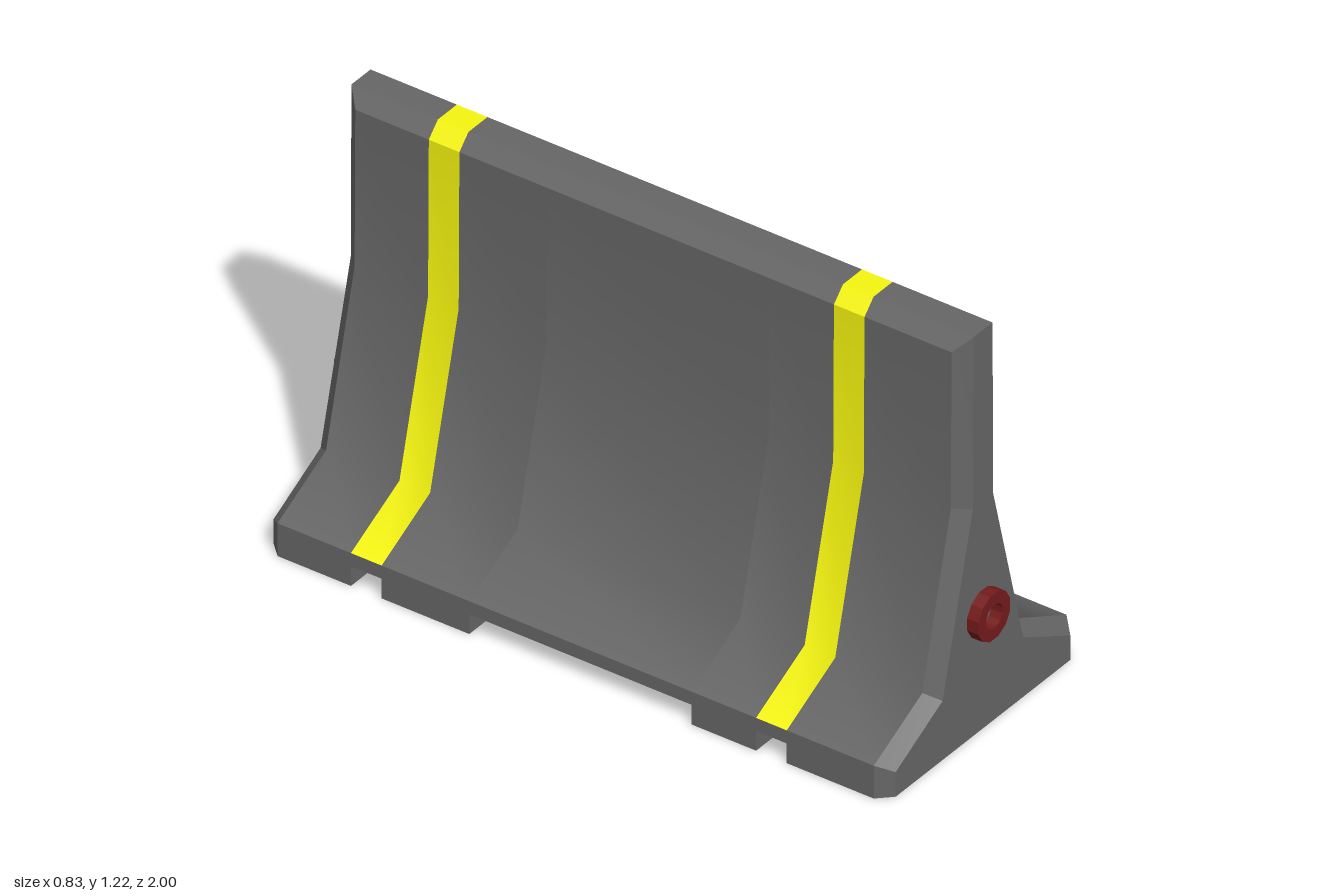
import * as THREE from 'three';
import { mergeGeometries } from 'three/addons/utils/BufferGeometryUtils.js';

const concrete = new THREE.MeshStandardMaterial({ color: 0x666666 });
const yellow = new THREE.MeshStandardMaterial({ color: 0xf5f50f });
const red = new THREE.MeshStandardMaterial({ color: 0x741b1b });

const END = 0.965, SHOULDER = 0.925, NOTCH = 0.06, HALF_WIDTH = 0.415;

// Right half of the cross-section, bottom to top: full size and chamfered end
const FULL = [[HALF_WIDTH, 0], [HALF_WIDTH, 0.1], [0.206, 0.206], [0.083, 0.7], [0.08, 1.175], [0.041, 1.215]];
const INSET = [[0.376, 0], [0.376, 0.075], [0.174, 0.18], [0.044, 0.692], [0.041, 1.215], [0.041, 1.215]];

// Mirror a half profile into a closed loop, with the underside raised to base
function loop(half, base = 0) {
  const right = half.map(([x, y], i) => [x, i === 0 ? base : y]);
  return [...right, ...right.map(([x, y]) => [-x, y]).reverse()];
}

// Smooth ribbon between two sections, over the given loop points
function ribbon(a, za, b, zb, ids) {
  const pos = [], index = [];
  ids.forEach((id, k) => {
    pos.push(...a[id], za, ...b[id], zb);
    if (k > 0) {
      const p = 2 * (k - 1);
      index.push(p, p + 2, p + 3, p, p + 3, p + 1);
    }
  });
  const g = new THREE.BufferGeometry();
  g.setAttribute('position', new THREE.Float32BufferAttribute(pos, 3));
  g.setIndex(index);
  g.computeVertexNormals();
  return g;
}

const LOWER = [[0, 1], [10, 11], [11, 0]];
const UPPER = [[1, 2, 3, 4], [4, 5], [5, 6], [6, 7], [7, 8, 9, 10]];
const FLAT = Array.from({ length: 12 }, (_, i) => [i, (i + 1) % 12]);

export function createModel() {
  const model = new THREE.Group();
  const add = (name, geometry, material) => {
    const mesh = new THREE.Mesh(geometry, material);
    mesh.name = name;
    model.add(mesh);
    return mesh;
  };

  // Lengthwise segments: start, end, underside height, painted or not
  const segments = [
    [-SHOULDER, -0.697, 0, false],
    [-0.697, -0.602, NOTCH, true],
    [-0.602, -0.33, 0, false],
    [-0.33, 0.36, NOTCH, false],
    [0.36, 0.56, 0, false],
    [0.56, 0.655, NOTCH, true],
    [0.655, SHOULDER, 0, false],
  ];
  const body = [];
  for (const [za, zb, base, painted] of segments) {
    const s = loop(FULL, base);
    const strips = (list) => list.map((ids) => ribbon(s, za, s, zb, ids));
    body.push(...strips(LOWER));
    if (painted) add('paintedStripe', mergeGeometries(strips(UPPER)), yellow);
    else body.push(...strips(UPPER));

    // Walls on both sides of each notch, facing into it
    if (base > 0) {
      for (const [z, turn] of [[za, 0], [zb, Math.PI]]) {
        const wall = new THREE.PlaneGeometry(2 * HALF_WIDTH, NOTCH);
        wall.rotateY(turn).translate(0, NOTCH / 2, z);
        wall.deleteAttribute('uv');
        body.push(wall);
      }
    }
  }

  // Chamfers around both ends
  const full = loop(FULL), inset = loop(INSET);
  for (const ids of FLAT) {
    body.push(ribbon(inset, -END, full, -SHOULDER, ids));
    body.push(ribbon(full, SHOULDER, inset, END, ids));
  }

  // Flat end faces
  const outline = [...INSET.slice(0, 5), ...INSET.slice(0, 5).map(([x, y]) => [-x, y]).reverse()];
  const endShape = new THREE.Shape(outline.map(([x, y]) => new THREE.Vector2(x, y)));
  for (const turn of [0, Math.PI]) {
    const cap = new THREE.ShapeGeometry(endShape);
    cap.translate(0, 0, END).rotateY(turn);
    cap.deleteAttribute('uv');
    body.push(cap);
  }
  add('barrierBody', mergeGeometries(body), concrete);

  // Twelve-sided connector rings on the ends
  const polygon = (r) => Array.from({ length: 12 }, (_, i) => {
    const t = (i + 0.5) * Math.PI / 6;
    return new THREE.Vector2(r * Math.cos(t), r * Math.sin(t));
  });
  const ringShape = new THREE.Shape(polygon(0.071));
  ringShape.holes.push(new THREE.Path(polygon(0.036)));
  for (const side of [1, -1]) {
    const ring = new THREE.ExtrudeGeometry(ringShape, { depth: 1 - END, bevelEnabled: false });
    ring.translate(0, 0.355, END);
    if (side < 0) ring.rotateY(Math.PI);
    add(side > 0 ? 'frontConnectorRing' : 'backConnectorRing', ring, red);
  }
  return model;
}
